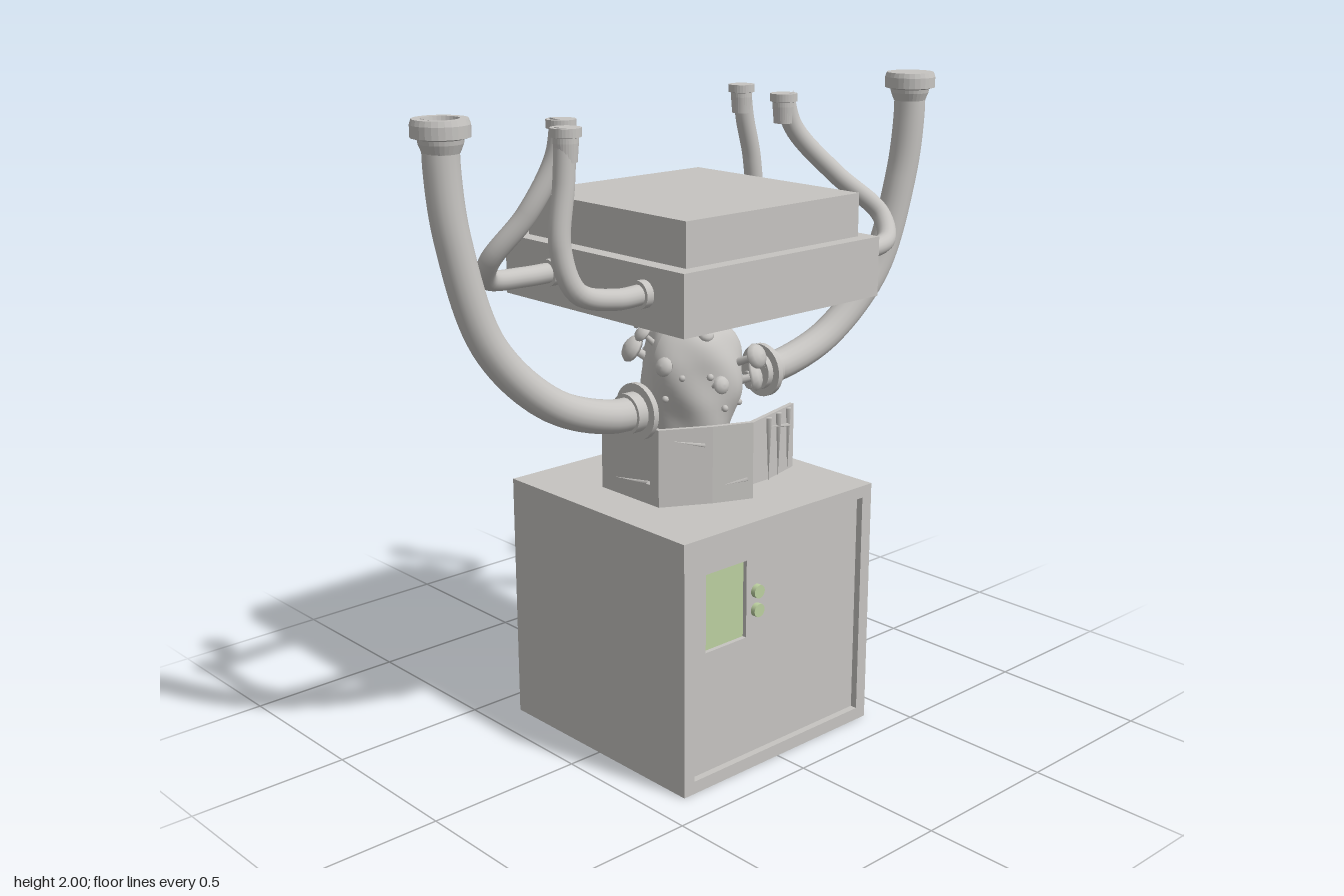
import * as THREE from 'three';

const grey = new THREE.MeshStandardMaterial({ color: 0xc6c4c1 });
grey.name = 'warm grey';
const green = new THREE.MeshStandardMaterial({ color: 0xbcd0a0 });
green.name = 'pale green';
const V = (x, y, z) => new THREE.Vector3(x, y, z);

function add(parent, name, geometry, x = 0, y = 0, z = 0, material = grey) {
  const mesh = new THREE.Mesh(geometry, material);
  mesh.name = name;
  mesh.position.set(x, y, z);
  parent.add(mesh);
  return mesh;
}

// Box given by its lower and upper corners
function box(parent, name, a, b, material) {
  const s = a.map((v, i) => b[i] - v);
  const c = a.map((v, i) => (b[i] + v) / 2);
  return add(parent, name, new THREE.BoxGeometry(...s), ...c, material);
}

// Flat plate with a rectangular hole; rectangles are [x0, y0, x1, y1]
function holedPlate(outer, hole, depth) {
  const pts = ([x0, y0, x1, y1]) => [[x0, y0], [x1, y0], [x1, y1], [x0, y1]].map((p) => new THREE.Vector2(...p));
  const shape = new THREE.Shape(pts(outer));
  shape.holes.push(new THREE.Path(pts(hole).reverse()));
  return new THREE.ExtrudeGeometry(shape, { depth, bevelEnabled: false });
}

function lathe(points, segments = 32) {
  return new THREE.LatheGeometry(points.map((p) => new THREE.Vector2(...p)), segments);
}

// Cabinet with a recessed door on its left side, a screen and two buttons
function buildCabinet(root) {
  const g = new THREE.Group();
  g.name = 'cabinet';
  box(g, 'cabinetBody', [-0.4, 0, -0.4], [0.35, 0.795, 0.39]);
  const turn = (geo) => geo.rotateY(Math.PI / 2);
  add(g, 'doorPanel', turn(holedPlate([-0.39, 0, 0.4, 0.795], [-0.285, 0.425, -0.12, 0.67], 0.018)), 0.35);
  add(g, 'doorFrame', turn(holedPlate([-0.39, 0, 0.4, 0.795], [-0.35, 0.04, 0.36, 0.757], 0.022)), 0.368);
  box(g, 'screen', [0.35, 0.425, 0.12], [0.354, 0.67, 0.285], green);
  for (const y of [0.565, 0.505]) {
    add(g, 'button', new THREE.CylinderGeometry(0.021, 0.021, 0.016, 20).rotateZ(Math.PI / 2), 0.376, y, 0.08, green);
  }
  root.add(g);
}

// Hood made of two stacked slabs with a recessed underside
function buildHood(root) {
  const g = new THREE.Group();
  g.name = 'hood';
  box(g, 'hoodLower', [-0.4, 1.41, -0.4], [0.39, 1.57, 0.39]);
  box(g, 'hoodUpper', [-0.35, 1.57, -0.355], [0.345, 1.7, 0.34]);
  const rim = holedPlate([-0.4, -0.39, 0.39, 0.4], [-0.33, -0.32, 0.32, 0.33], 0.021).rotateX(-Math.PI / 2);
  add(g, 'hoodRim', rim, 0, 1.39, 0);
  root.add(g);
}

// Bent pipe with a flange at the start and a capped mouth at the top
function buildPipe(root, name, r, points, big, open = false) {
  const g = new THREE.Group();
  g.name = name;
  const path = points.map((p) => V(...p));
  const curve = new THREE.CatmullRomCurve3(path, false, 'centripetal');
  add(g, 'pipeTube', new THREE.TubeGeometry(curve, 48, r, 18, false));
  const s = path[0], e = path[path.length - 1], dir = Math.sign(e.z);
  const ring = (rad, len, off) =>
    add(g, 'pipeFlange', new THREE.CylinderGeometry(rad, rad, len, 28).rotateX(Math.PI / 2), s.x, s.y, s.z + dir * off);
  if (big) {
    ring(0.06, 0.075, 0.037);
    ring(0.085, 0.018, 0.03);
  } else ring(0.04, 0.025, 0.012);
  const mouth = big
    ? [[0.05, -0.09], [0.06, -0.065], [0.062, -0.053], [0.08, -0.048], [0.08, -0.015], [0.075, 0]]
    : [[0.03, -0.09], [0.034, -0.04], [0.034, -0.026], [0.042, -0.024], [0.042, 0]];
  if (open) mouth.push([0.052, 0], [0.05, -0.012]);
  mouth.push([0, open ? -0.012 : 0]);
  const m = add(g, 'pipeMouth', lathe(mouth, 28), e.x, e.y, e.z);
  m.geometry = m.geometry.toNonIndexed();
  m.geometry.computeVertexNormals();
  root.add(g);
}

// Broken faceted pot wall around the front and left sides
function buildPot(root) {
  const g = new THREE.Group();
  g.name = 'brokenPot';
  const corners = [[-0.15, 0.235], [0.11, 0.235], [0.19, 0.09], [0.24, -0.03], [0.18, -0.265]];
  for (let i = 0; i < 4; i++) {
    const [ax, az] = corners[i], [bx, bz] = corners[i + 1];
    const w = Math.hypot(bx - ax, bz - az), low = i === 3 ? 0.83 : 0.795;
    const shape = new THREE.Shape();
    shape.moveTo(0, low + (i === 3 ? 0.01 : 0));
    shape.lineTo(w * 0.4, low);
    shape.lineTo(w, low);
    shape.lineTo(w, 1.035);
    shape.lineTo(0, 1.035);
    const geo = new THREE.ExtrudeGeometry(shape, { depth: 0.015, bevelEnabled: false });
    geo.translate(0, 0, -0.015);
    const wall = add(g, 'potWall', geo, ax, 0, az);
    wall.rotation.y = Math.atan2(az - bz, bx - ax);
    // thin flake lifting off the wall
    const flake = new THREE.ConeGeometry(0.012, w * 0.6, 4).rotateZ(Math.PI / 2).scale(1, 0.5, 1);
    const f = add(wall, 'potFlake', flake, w * 0.55, i % 2 ? 0.99 : 0.855, 0.003);
    f.rotation.z = i % 2 ? -0.2 : 0.12;
  }
  // hanging shards at the broken edge
  for (let i = 0; i < 3; i++) {
    add(g, 'potShard', new THREE.ConeGeometry(0.012, 0.2, 4).rotateX(Math.PI), 0.19 + i * 0.018, 0.93, -0.23 + i * 0.06);
  }
  root.add(g);
}

// Lumpy growth rising from a flat foot
function buildGrowth(root) {
  const g = new THREE.Group();
  g.name = 'fungusGrowth';
  const profile = [[0, 0.795], [0.16, 0.795], [0.175, 0.81], [0.165, 0.835], [0.14, 0.87], [0.125, 0.95], [0.135, 1.02],
    [0.15, 1.09], [0.152, 1.16], [0.145, 1.22], [0.12, 1.275], [0.075, 1.308], [0, 1.315]];
  const curve = new THREE.SplineCurve(profile.map((p) => new THREE.Vector2(...p)));
  const geo = new THREE.LatheGeometry(curve.getPoints(48).map((p) => new THREE.Vector2(Math.max(0, p.x), p.y)), 40);
  const pos = geo.attributes.position;
  for (let i = 0; i < pos.count; i++) {
    const x = pos.getX(i), y = pos.getY(i), z = pos.getZ(i), a = Math.atan2(z, x);
    const k = 1 + (y > 0.86 ? 0.06 * Math.sin(3 * a + y * 14) + 0.03 * Math.sin(5 * a - y * 25) : 0);
    pos.setXYZ(i, x * k, y, z * k);
  }
  geo.computeVertexNormals();
  add(g, 'growthBody', geo, -0.015, 0, -0.01);

  // Mushrooms: root position, direction, cap radius, stem length
  const mushrooms = [
    [[-0.1, 1.26, 0.06], [-0.7, 0.6, 0.3], 0.03, 0.06], [[-0.11, 1.2, 0.1], [-0.3, 0.5, 0.7], 0.045, 0.04],
    [[-0.05, 1.25, 0.11], [-0.2, 0.7, 0.7], 0.03, 0.05], [[0.04, 1.19, 0.12], [0.2, 0.3, 0.9], 0.03, 0.04],
    [[-0.04, 1.29, 0.03], [0, 1, 0.2], 0.02, 0.035], [[0.02, 1.29, -0.05], [0.1, 1, -0.3], 0.02, 0.03],
    [[0.1, 1.18, -0.08], [0.9, 0.4, -0.2], 0.04, 0.09], [[0.11, 1.13, 0.02], [1, 0.3, 0.1], 0.028, 0.05],
    [[0.09, 1.12, -0.11], [0.6, 0.2, -0.6], 0.045, 0.05], [[0.03, 1.09, -0.14], [0.3, 0.1, -0.9], 0.03, 0.06],
    [[-0.08, 1.08, -0.12], [-0.5, 0.3, -0.7], 0.045, 0.03], [[-0.14, 1.02, -0.02], [-0.9, 0.5, 0], 0.04, 0.035],
    [[-0.13, 0.84, 0.03], [-0.9, 0.25, 0.2], 0.03, 0.055], [[0.08, 1.26, 0.03], [0.6, 0.8, 0.2], 0.025, 0.04],
    [[-0.08, 1.27, -0.07], [-0.4, 0.8, -0.4], 0.022, 0.035],
  ];
  for (const [p, d, r, len] of mushrooms) {
    const m = new THREE.Group();
    m.name = 'mushroom';
    add(m, 'mushroomStem', new THREE.CylinderGeometry(r * 0.25, r * 0.35, len + 0.02, 8), 0, len / 2 - 0.01, 0);
    add(m, 'mushroomCap', lathe([[0, 0], [r * 0.9, -r * 0.2], [r, 0], [r * 0.8, r * 0.35], [r * 0.4, r * 0.55], [0, r * 0.6]], 14), 0, len, 0);
    m.position.set(...p);
    m.quaternion.setFromUnitVectors(V(0, 1, 0), V(...d).normalize());
    g.add(m);
  }
  // small buds dotted over the surface
  for (let i = 0; i < 12; i++) {
    const a = i * 2.4, y = 1.06 + (i % 5) * 0.035;
    add(g, 'bud', new THREE.SphereGeometry(0.011, 8, 6), -0.015 + 0.152 * Math.cos(a), y, -0.01 + 0.152 * Math.sin(a));
  }
  root.add(g);
}

export function createModel() {
  const root = new THREE.Group();
  root.name = 'fungusMachine';
  buildCabinet(root);
  buildHood(root);
  buildPot(root);
  buildGrowth(root);

  // Large pipes, front and back
  buildPipe(root, 'largePipeFront', 0.05, [[0.08, 1.1, 0.26], [0.08, 1.105, 0.4], [0.065, 1.18, 0.6], [0.035, 1.37, 0.78],
    [0.01, 1.66, 0.865], [0, 1.85, 0.885], [0, 1.99, 0.885]], true, true);
  buildPipe(root, 'largePipeBack', 0.05, [[0, 1.1, -0.275], [0, 1.105, -0.4], [0.015, 1.18, -0.6], [0.045, 1.37, -0.78],
    [0.07, 1.66, -0.865], [0.08, 1.85, -0.885], [0.08, 2, -0.885]], true);

  // Small pipes from the hood
  buildPipe(root, 'smallPipeFrontLeft', 0.03, [[0.23, 1.49, 0.39], [0.23, 1.49, 0.5], [0.23, 1.53, 0.63], [0.215, 1.65, 0.67],
    [0.21, 1.82, 0.65], [0.21, 1.965, 0.64]]);
  buildPipe(root, 'smallPipeFrontRight', 0.03, [[-0.17, 1.49, 0.39], [-0.17, 1.49, 0.5], [-0.14, 1.51, 0.65], [-0.07, 1.58, 0.69],
    [0.01, 1.71, 0.62], [0.05, 1.86, 0.55], [0.06, 1.965, 0.535]]);
  buildPipe(root, 'smallPipeBackLeft', 0.03, [[0.24, 1.49, -0.4], [0.24, 1.49, -0.5], [0.22, 1.51, -0.63], [0.16, 1.58, -0.665],
    [0.09, 1.71, -0.53], [0.03, 1.86, -0.4], [0.02, 1.965, -0.365]]);
  buildPipe(root, 'smallPipeBackRight', 0.03, [[-0.27, 1.49, -0.4], [-0.27, 1.495, -0.47], [-0.265, 1.56, -0.52], [-0.26, 1.72, -0.51],
    [-0.26, 1.86, -0.475], [-0.26, 1.965, -0.46]]);
  return root;
}
